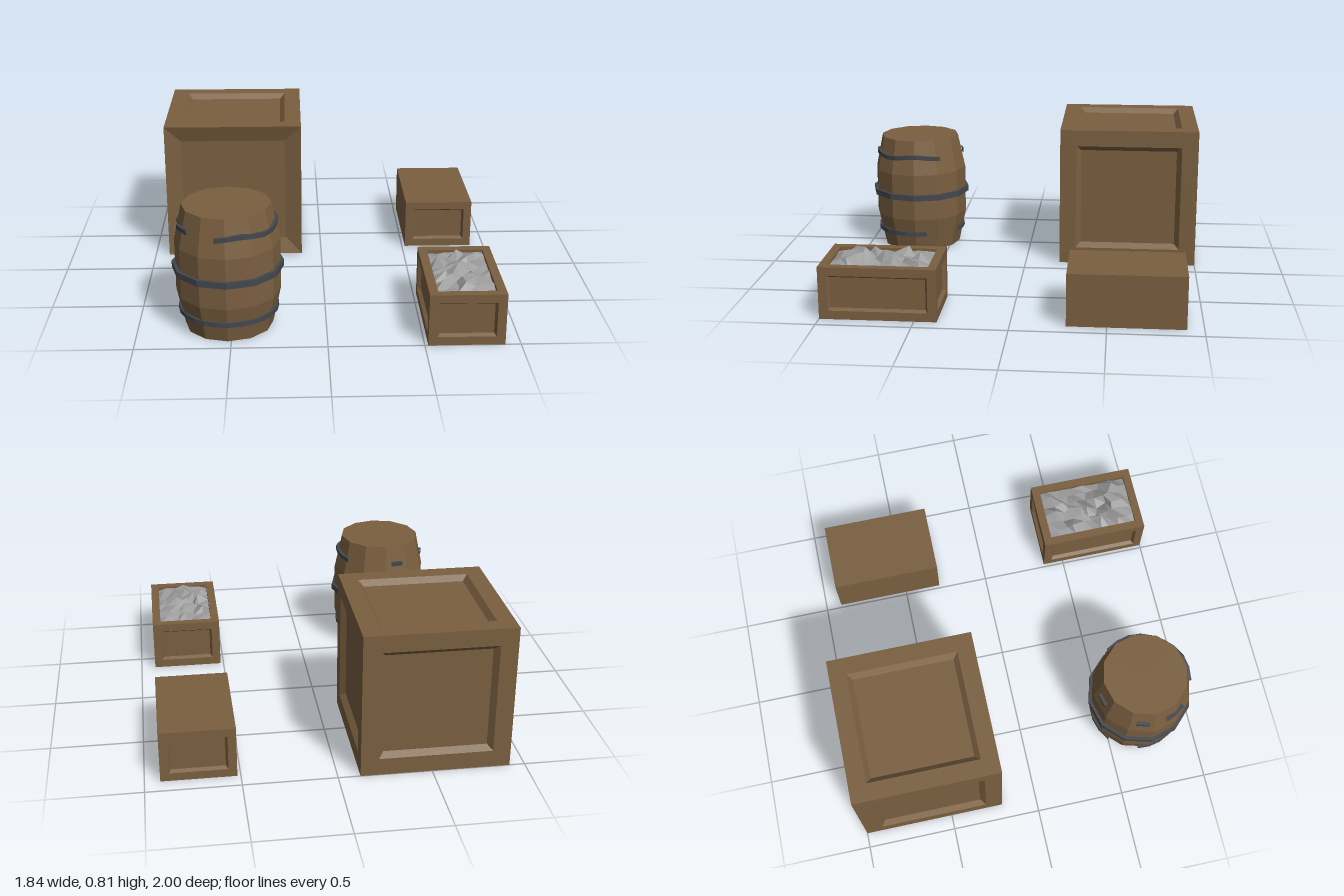
import * as THREE from 'three';
import { mergeGeometries } from 'three/addons/utils/BufferGeometryUtils.js';

const flat = (name, color) => {
  const m = new THREE.MeshStandardMaterial({ color, flatShading: true, side: THREE.DoubleSide });
  m.name = name;
  return m;
};

// Rectangular rings [inset, height] joined into one face looking along +z
function ringFace(w, h, rings, closed = true) {
  const corners = rings.map(([i, z]) => {
    const x = w / 2 - i, y = h / 2 - i;
    return [[-x, -y, z], [x, -y, z], [x, y, z], [-x, y, z]];
  });
  const pos = [];
  const quad = (a, b, c, d) => pos.push(...a, ...b, ...c, ...a, ...c, ...d);
  for (let r = 0; r < corners.length - 1; r++) {
    for (let k = 0; k < 4; k++) {
      const n = (k + 1) % 4;
      quad(corners[r][k], corners[r][n], corners[r + 1][n], corners[r + 1][k]);
    }
  }
  if (closed) quad(...corners[corners.length - 1]);
  const g = new THREE.BufferGeometry();
  g.setAttribute('position', new THREE.Float32BufferAttribute(pos, 3));
  g.computeVertexNormals();
  return g;
}

// Crate of six faces; kinds are listed as front, back, right, left, top, bottom
function crateGeometry(w, h, d, kinds, inset, bevel, depth) {
  const styles = {
    plain: [[0, 0]],
    panel: [[0, 0], [inset, 0], [inset + bevel, -depth]],
    dish: [[0, 0], [inset, -depth]],
    open: [[0, 0], [inset, 0], [inset, -0.06]],
  };
  const sides = [
    [w, h, d, 0, 0], [w, h, d, 0, Math.PI],
    [d, h, w, 0, Math.PI / 2], [d, h, w, 0, -Math.PI / 2],
    [w, d, h, -Math.PI / 2, 0], [w, d, h, Math.PI / 2, 0],
  ];
  return mergeGeometries(sides.map(([fw, fh, out, rx, ry], i) =>
    ringFace(fw, fh, styles[kinds[i]], kinds[i] !== 'open')
      .translate(0, 0, out / 2).rotateX(rx).rotateY(ry)));
}

// Iron band: a rectangular section swept around the barrel, angles in degrees
function hoopGeometry(r, y, height, from, to, wave = 0) {
  const a = height / 2, inner = r - 0.04;
  const section = [[inner, -a], [r, -a], [r, a], [inner, a], [inner, -a]]
    .map(([x, v]) => new THREE.Vector2(x, v));
  const step = to - from === 360 ? 30 : 15;
  const g = new THREE.LatheGeometry(section, Math.max(1, Math.round((to - from) / step)),
    THREE.MathUtils.degToRad(from), THREE.MathUtils.degToRad(to - from));
  const p = g.attributes.position;
  for (let i = 0; i < p.count; i++) {
    const t = Math.atan2(p.getX(i), p.getZ(i));
    p.setY(i, p.getY(i) + y + wave * Math.sin(5 * t));
  }
  g.computeVertexNormals();
  return g;
}

// Heap of broken stones: a plane with jittered points
function stoneGeometry(w, d) {
  let seed = 7;
  const rand = () => (seed = (seed * 16807) % 2147483647) / 2147483647;
  for (let i = 0; i < 5; i++) rand();
  const nx = 6, nz = 10;
  const g = new THREE.PlaneGeometry(w, d, nx, nz).rotateX(-Math.PI / 2);
  const p = g.attributes.position;
  for (let i = 0; i < p.count; i++) {
    const cx = i % (nx + 1), cz = Math.floor(i / (nx + 1));
    const edge = cx === 0 || cx === nx || cz === 0 || cz === nz;
    if (edge) {
      p.setY(i, 0.255 + 0.02 * rand());
    } else {
      p.setXYZ(i, p.getX(i) + (rand() - 0.5) * 0.035, 0.262 + 0.06 * rand() ** 1.5,
        p.getZ(i) + (rand() - 0.5) * 0.035);
    }
  }
  const out = g.toNonIndexed();
  out.computeVertexNormals();
  return out;
}

export function createModel() {
  const wood = flat('wood', 0x7a5f40);
  const iron = flat('iron', 0x43474c);
  const stone = flat('stone', 0x9d9d9d);
  const model = new THREE.Group();
  model.name = 'cratesAndBarrel';

  const add = (parent, name, geometry, material, x = 0, y = 0, z = 0) => {
    const mesh = new THREE.Mesh(geometry, material);
    mesh.name = name;
    mesh.position.set(x, y, z);
    parent.add(mesh);
    return mesh;
  };

  // Large crate with sunken panels
  add(model, 'largeCrate', crateGeometry(0.8, 0.806, 0.8,
    ['dish', 'panel', 'panel', 'panel', 'panel', 'panel'], 0.095, 0.028, 0.03),
  wood, -0.518, 0.403, -0.6);

  // Closed small crate, panelled at both ends
  add(model, 'smallCrate', crateGeometry(0.4, 0.285, 0.62,
    ['panel', 'panel', 'plain', 'plain', 'plain', 'plain'], 0.045, 0.012, 0.02),
  wood, 0.718, 0.1425, -0.6);

  // Open small crate filled with stones
  const stoneCrate = new THREE.Group();
  stoneCrate.name = 'stoneCrate';
  stoneCrate.position.set(0.718, 0, 0.69);
  add(stoneCrate, 'openCrate', crateGeometry(0.4, 0.285, 0.62,
    ['panel', 'panel', 'panel', 'panel', 'open', 'plain'], 0.047, 0.012, 0.02),
  wood, 0, 0.1425, 0);
  add(stoneCrate, 'stones', stoneGeometry(0.306, 0.526), stone);
  model.add(stoneCrate);

  // Twelve-sided barrel
  const barrel = new THREE.Group();
  barrel.name = 'barrel';
  barrel.position.set(-0.518, 0, 0.69);
  const profile = [[0, 0], [0.235, 0], [0.278, 0.2], [0.278, 0.48], [0.235, 0.683], [0, 0.683]]
    .map(([x, y]) => new THREE.Vector2(x, y));
  add(barrel, 'barrelBody', new THREE.LatheGeometry(profile, 12), wood);

  // Hoops: a full one at the middle, broken ones above and below
  add(barrel, 'middleHoop', hoopGeometry(0.296, 0.342, 0.034, 0, 360), iron);
  for (const [from, to] of [[-12, 125], [-75, -48], [-113, -97], [-173, -157]]) {
    add(barrel, 'upperHoop', hoopGeometry(0.267, 0.582, 0.024, from, to, 0.008), iron);
  }
  for (const [from, to] of [[-100, 105], [155, 220]]) {
    add(barrel, 'lowerHoop', hoopGeometry(0.267, 0.107, 0.026, from, to), iron);
  }
  model.add(barrel);

  return model;
}
